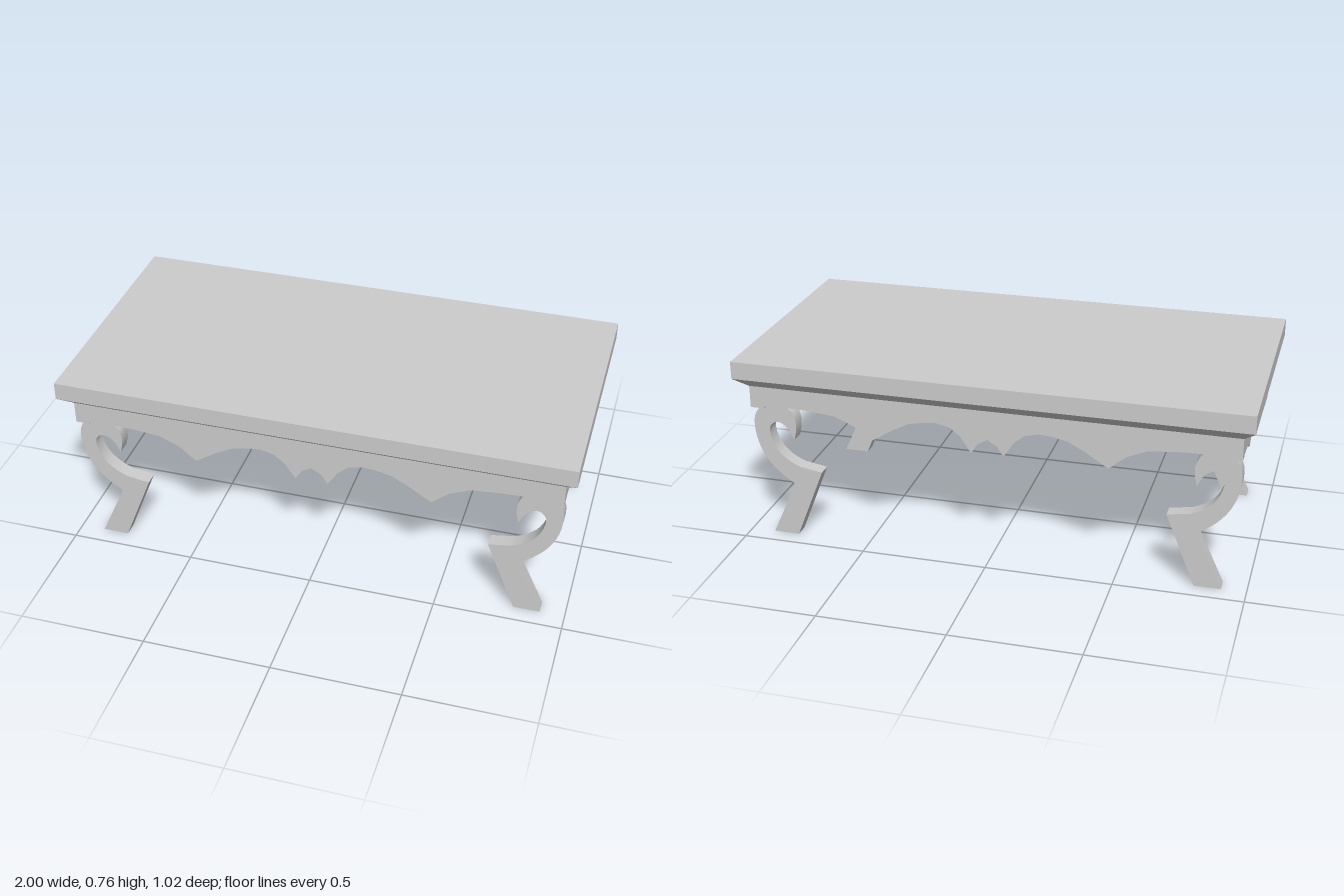
import * as THREE from 'three';
import { toCreasedNormals } from 'three/addons/utils/BufferGeometryUtils.js';

const material = new THREE.MeshStandardMaterial({ color: 0xcccccc });

function addMesh(parent, name, geometry) {
  const mesh = new THREE.Mesh(geometry, material);
  mesh.name = name;
  parent.add(mesh);
  return mesh;
}

// Extrude a shape along z, centred on z = 0, keeping its corners sharp
function plate(shape, depth) {
  const g = new THREE.ExtrudeGeometry(shape, { depth, bevelEnabled: false, curveSegments: 3 });
  g.translate(0, 0, -depth / 2);
  return toCreasedNormals(g, 0.45);
}

const vec = ([x, y]) => new THREE.Vector2(x, y);

// Apron board: straight top edge, scalloped lower edge mirrored about its middle
function apronShape(half, top, lowerEdge) {
  const right = lowerEdge.map(vec); // from the outer end to the middle
  const left = lowerEdge.slice(0, -1).reverse().map(([x, y]) => vec([-x, y]));
  return new THREE.Shape([vec([-half, top]), vec([half, top]), ...right, ...left].reverse());
}

// Scrolled leg with a slanted foot, drawn for the +x side
function legShape() {
  const s = new THREE.Shape();
  s.moveTo(0.904, 0);
  s.lineTo(0.80, 0);
  s.lineTo(0.685, 0.288);
  s.lineTo(0.775, 0.303);
  // inside of the scroll
  s.splineThru([[0.82, 0.325], [0.862, 0.363], [0.887, 0.413], [0.892, 0.458], [0.872, 0.484],
    [0.845, 0.485], [0.813, 0.46], [0.792, 0.418]].map(vec));
  // curled tip, crown and outside of the scroll
  s.splineThru([[0.782, 0.467], [0.787, 0.517], [0.815, 0.553], [0.86, 0.572], [0.915, 0.555],
    [0.948, 0.515], [0.956, 0.46], [0.943, 0.388], [0.91, 0.322], [0.86, 0.267], [0.80, 0.226]].map(vec));
  s.closePath();
  return s;
}

export function createModel() {
  const table = new THREE.Group();
  table.name = 'table';

  // Table top, the sloped moulding below it and the core between the aprons
  addMesh(table, 'tableTop', new THREE.BoxGeometry(2, 0.07, 1.02)).position.y = 0.721;

  const moulding = new THREE.BoxGeometry(2, 0.046, 1.02);
  const p = moulding.attributes.position;
  for (let i = 0; i < p.count; i++) {
    if (p.getY(i) < 0) p.setXYZ(i, Math.sign(p.getX(i)) * 0.955, p.getY(i), Math.sign(p.getZ(i)) * 0.455);
  }
  moulding.computeVertexNormals();
  addMesh(table, 'moulding', moulding).position.y = 0.663;
  addMesh(table, 'core', new THREE.BoxGeometry(1.83, 0.06, 0.83)).position.y = 0.61;

  // Scalloped aprons
  const t = 0.055;
  const longApron = plate(apronShape(0.955, 0.64, [[0.955, 0.551], [0.91, 0.558], [0.82, 0.563], [0.73, 0.561],
    [0.61, 0.55], [0.53, 0.516], [0.465, 0.461], [0.375, 0.519], [0.31, 0.552], [0.25, 0.565], [0.2, 0.569],
    [0.145, 0.556], [0.105, 0.523], [0.063, 0.461], [0.038, 0.501], [0, 0.523]]), t);
  const sideApron = plate(apronShape(0.455, 0.64, [[0.455, 0.551], [0.35, 0.549], [0.28, 0.537], [0.223, 0.505],
    [0.15, 0.543], [0.075, 0.558], [0, 0.564]]), t);
  for (const s of [1, -1]) {
    addMesh(table, s > 0 ? 'frontApron' : 'backApron', longApron).position.z = s * (0.455 - t / 2);
    const side = addMesh(table, s > 0 ? 'leftApron' : 'rightApron', sideApron);
    side.rotation.y = Math.PI / 2;
    side.position.x = s * (0.9545 - t / 2);
  }

  // Four legs
  const leg = plate(legShape(), 0.057);
  for (const sx of [1, -1]) {
    for (const sz of [1, -1]) {
      const m = addMesh(table, (sz > 0 ? 'front' : 'back') + (sx > 0 ? 'Left' : 'Right') + 'Leg', leg);
      m.rotation.y = sx > 0 ? 0 : Math.PI;
      m.position.z = sz * 0.4015;
    }
  }
  return table;
}
